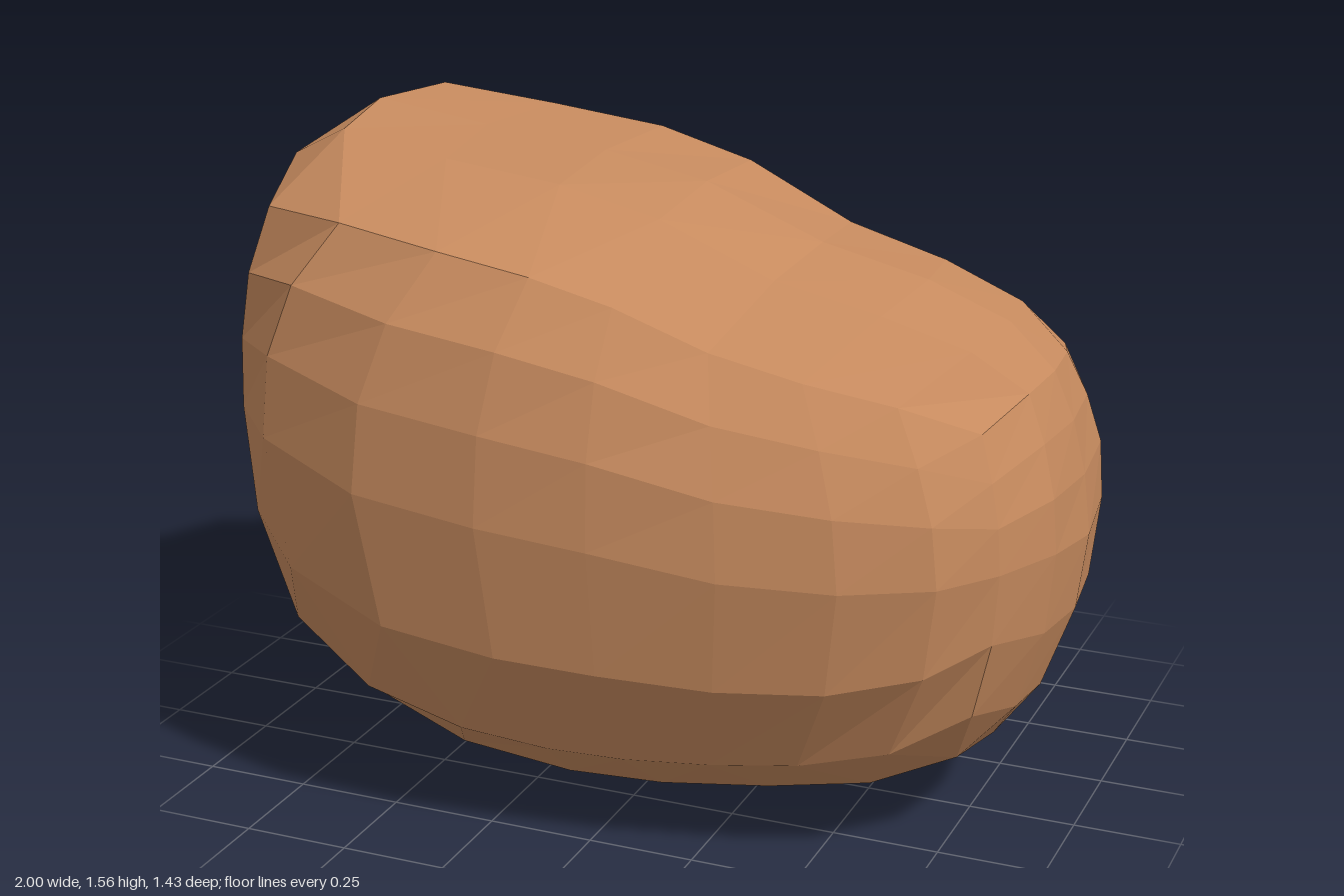
import * as THREE from 'three';

// Profiles along the body from the -x end to the +x end, one entry per 15 degrees
const X = [-1, -0.975, -0.89, -0.75, -0.47, -0.17, 0.08, 0.36, 0.61, 0.8, 0.905, 0.975, 1];
const TOP = [0.8, 1.12, 1.46, 1.565, 1.54, 1.505, 1.44, 1.325, 1.265, 1.19, 1.09, 0.93, 0.72];
const BOTTOM = [0.8, 0.5, 0.28, 0.13, 0.03, 0, 0.01, 0.05, 0.1, 0.2, 0.34, 0.52, 0.72];
const WIDTH = [0, 0.22, 0.45, 0.6, 0.705, 0.715, 0.685, 0.64, 0.58, 0.49, 0.38, 0.22, 0];

// Angles of the rows around the body, bottom edge to top edge
const ROWS = [-45, -22.5, 0, 17, 32, 45];

const sample = (table, t) => {
  const i = Math.min(Math.floor(t), table.length - 2);
  return THREE.MathUtils.lerp(table[i], table[i + 1], t - i);
};
const tan = (degrees) => Math.tan(THREE.MathUtils.degToRad(degrees));

// Wrap a gridded box onto the rounded body
function bodyGeometry() {
  const geometry = new THREE.BoxGeometry(8, 5, 4, 8, 5, 4);
  const pos = geometry.attributes.position;
  for (let i = 0; i < pos.count; i++) {
    const u = tan(pos.getX(i) * 15);
    const v = tan(ROWS[Math.round(pos.getY(i) + 2.5)]);
    const w = tan(pos.getZ(i) * 22.5);

    // Position along the body and direction around it (straight up at the end points)
    const r = Math.hypot(v, w);
    const t = Math.min(12, Math.max(0, Math.atan2(r, -u) * 12 / Math.PI));
    const up = r > 1e-6 ? v / r : 1;
    const side = r > 1e-6 ? w / r : 0;

    // Boxier on top of the thick end, rounder elsewhere
    const x = sample(X, t);
    const p = up > 0 ? 3.2 - 0.9 * THREE.MathUtils.smoothstep(x, -0.2, 0.4) : 2.2;
    const s = Math.pow(Math.abs(up) ** p + Math.abs(side) ** p, -1 / p);

    const top = sample(TOP, t), bottom = sample(BOTTOM, t);
    const middle = THREE.MathUtils.lerp(bottom, top, 0.54);
    const z = side * s * sample(WIDTH, t);
    let y = middle + up * s * (up > 0 ? top - middle : middle - bottom);

    // Shallow dish and slight tilt of the crown
    if (up > 0.5) {
      const d = Math.hypot(x + 0.35, z) / 0.45;
      y -= 0.02 * Math.max(0, 1 - d * d) + 0.02 * z;
    }
    pos.setXYZ(i, x, y, z);
  }
  const flat = geometry.toNonIndexed();
  flat.computeVertexNormals();
  return flat;
}

export function createModel() {
  const group = new THREE.Group();
  group.name = 'lump';
  const material = new THREE.MeshStandardMaterial({ color: 0xc68a5e, flatShading: true });
  const body = new THREE.Mesh(bodyGeometry(), material);
  body.name = 'body';
  group.add(body);
  return group;
}
